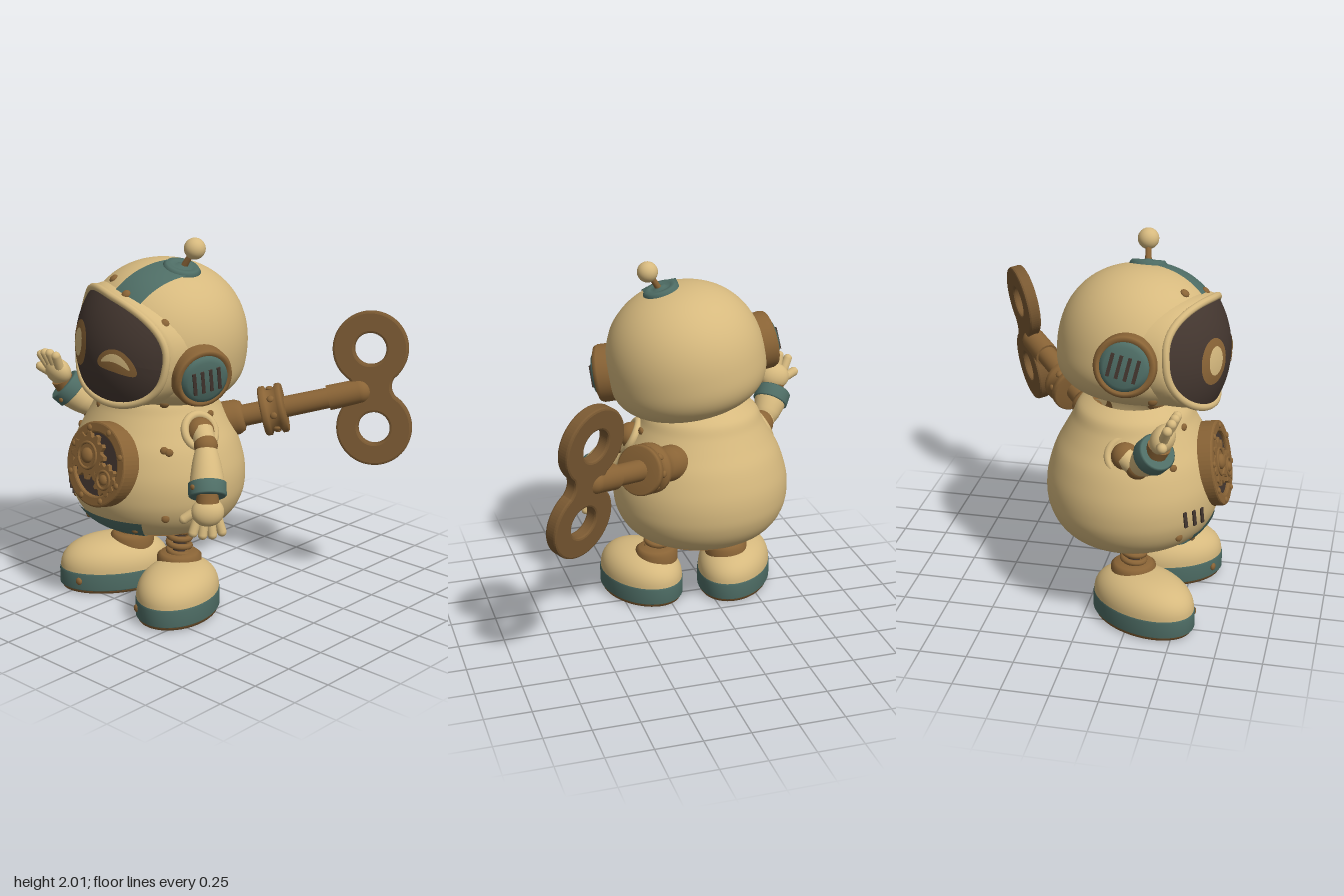
import * as THREE from 'three';

const V = (x, y, z) => new THREE.Vector3(x, y, z);
const V2 = (p) => new THREE.Vector2(p[0], p[1]);
const UP = V(0, 1, 0);
const mat = (name, color, side = THREE.FrontSide) => {
  const m = new THREE.MeshStandardMaterial({ color, side });
  m.name = name;
  return m;
};

export function createModel() {
  const cream = mat('cream', 0xd6b97e, THREE.DoubleSide);
  const teal = mat('teal', 0x4e6d65, THREE.DoubleSide);
  const bronze = mat('bronze', 0x8a6436, THREE.DoubleSide);
  const keyBronze = mat('dark bronze', 0x7a5932);
  const dark = mat('dark brown', 0x43362f, THREE.DoubleSide);

  const root = new THREE.Group();
  const group = (name, parent = root) => {
    const g = new THREE.Group();
    g.name = name;
    parent.add(g);
    return g;
  };
  const add = (name, geo, m, parent, pos = V(0, 0, 0), dir = null) => {
    const mesh = new THREE.Mesh(geo, m);
    mesh.name = name;
    mesh.position.copy(pos);
    if (dir) mesh.quaternion.setFromUnitVectors(UP, dir.clone().normalize());
    parent.add(mesh);
    return mesh;
  };
  const lathe = (pts, n = 48, a0 = 0, len = Math.PI * 2) => new THREE.LatheGeometry(pts.map(V2), n, a0, len);
  const ball = (name, r, m, parent, pos, sx = 1, sy = 1, sz = 1) => {
    const b = add(name, new THREE.SphereGeometry(r, 24, 16), m, parent, pos);
    b.scale.set(sx, sy, sz);
    return b;
  };
  const rivet = (parent, pos, dir, r = 0.022) =>
    add('rivet', new THREE.SphereGeometry(r, 12, 8).scale(1, 0.6, 1), bronze, parent, pos, dir);
  const limb = (name, a, b, r0, r1, m, parent) => {
    const d = b.clone().sub(a);
    return add(name, new THREE.CylinderGeometry(r1, r0, d.length(), 28), m, parent, a.clone().add(b).multiplyScalar(0.5), d);
  };
  // rings of points f(angle, t) joined into a sheet facing +z
  const sheet = (f, steps, around = 56) => {
    const pos = [], idx = [], w = around + 1;
    for (let i = 0; i <= steps; i++)
      for (let j = 0; j <= around; j++) pos.push(...f((j / around) * Math.PI * 2, i / steps));
    for (let i = 0; i < steps; i++)
      for (let j = 0; j < around; j++) {
        const a = i * w + j, b = a + w;
        idx.push(a, b, b + 1, a, b + 1, a + 1);
      }
    const g = new THREE.BufferGeometry();
    g.setAttribute('position', new THREE.Float32BufferAttribute(pos, 3));
    g.setIndex(idx);
    g.computeVertexNormals();
    return g;
  };

  // ---- body ----
  const CX = -0.19, CZ = 0.215, SZ = 0.94;
  const bodyCurve = new THREE.SplineCurve([[0, 0.4], [0.2, 0.4], [0.3, 0.415], [0.385, 0.455], [0.445, 0.52], [0.48, 0.6],
    [0.49, 0.68], [0.485, 0.76], [0.465, 0.84], [0.435, 0.92], [0.39, 1.0], [0.345, 1.08], [0.31, 1.15], [0.24, 1.2]].map(V2));
  const prof = bodyCurve.getPoints(80).map((p) => [Math.max(p.x, 0), p.y]);
  const bodyR = (y) => prof.reduce((best, p) => (Math.abs(p[1] - y) < Math.abs(best[1] - y) ? p : best))[0];
  const body = group('body');
  body.position.set(CX, 0, CZ);
  body.scale.z = SZ;
  add('bodyShell', lathe(prof, 64), cream, body);
  const shift = (lo, hi, d) => prof.filter((p) => p[1] >= lo && p[1] <= hi).map(([r, y]) => [r + (r > 0.01 ? d : 0), y - d * 0.6]);
  add('underside', lathe(shift(0, 0.428, 0.004), 64), bronze, body);
  add('bellyPanel', lathe(shift(0.402, 0.54, 0.008), 24, -0.56, 1.12), teal, body);
  const onBody = (a, y, out = 0) => {
    const n = V(Math.sin(a), 0, Math.cos(a));
    return [V(CX + (bodyR(y) + out) * n.x, y, CZ + (bodyR(y) + out) * SZ * n.z), n];
  };
  for (const [a, y] of [[-0.72, 1.125], [-0.45, 1.09], [-0.85, 0.935], [-0.8, 0.55], [0.84, 0.57], [0.84, 0.93], [1.7, 1.065],
    [0.9, 0.92], [-0.45, 0.48], [0.45, 0.48]]) rivet(root, ...onBody(a, y));
  for (let i = 0; i < 3; i++) {
    const [p, n] = onBody(-0.76 + i * 0.13, 0.66 - i * 0.008, 0.004);
    const s = add('ventSlot', new THREE.BoxGeometry(0.02, 0.09, 0.008), dark, root, p);
    s.rotation.set(0, Math.atan2(n.x, n.z), 0.15);
  }

  // ---- porthole with gears ----
  const port = group('porthole');
  port.position.set(-0.177, 0.83, 0.662);
  port.rotation.set(-0.2, -0.04, 0);
  const extrude = (shape, depth, bevel) => new THREE.ExtrudeGeometry(shape, { depth, bevelEnabled: bevel > 0, bevelSize: bevel, bevelThickness: bevel, bevelSegments: 2, curveSegments: 32 });
  const circlePath = (r, y = 0) => new THREE.Path().absarc(0, y, r, 0, Math.PI * 2, true);
  const ringShape = new THREE.Shape().absarc(0, 0, 0.215, 0, Math.PI * 2);
  ringShape.holes.push(circlePath(0.175));
  add('portholeRing', extrude(ringShape, 0.1, 0.01), bronze, port, V(0, 0, -0.085));
  add('portholeBack', new THREE.CircleGeometry(0.175, 40), dark, port, V(0, 0, 0.006));
  for (let i = 0; i < 8; i++) {
    const a = (i + 0.5) * Math.PI / 4;
    rivet(port, V(0.196 * Math.cos(a), 0.196 * Math.sin(a), 0.026), V(0, 0, 1), 0.017);
  }
  const gear = (x, y, r, teeth) => {
    const s = new THREE.Shape();
    for (let i = 0; i < teeth * 4; i++) {
      const a = (i / (teeth * 4)) * Math.PI * 2, k = i % 4 < 2 ? r : r * 0.8;
      s[i ? 'lineTo' : 'moveTo'](k * Math.cos(a), k * Math.sin(a));
    }
    add('gear', extrude(s, 0.018, 0.003), bronze, port, V(x, y, 0.01));
    add('gearRim', new THREE.TorusGeometry(r * 0.55, 0.008, 8, 32), bronze, port, V(x, y, 0.031));
    ball('gearHub', r * 0.33, bronze, port, V(x, y, 0.032), 1, 1, 0.6);
  };
  gear(-0.06, 0.035, 0.125, 12);
  gear(0.085, -0.065, 0.085, 10);

  // ---- head ----
  const head = group('head');
  head.position.set(-0.11, 1.42, 0.23);
  head.rotation.set(0, -0.175, -0.175, 'YXZ');
  const HR = 0.435, headR = (y) => {
    const [h, n] = y > 0 ? [0.44, 2.2] : [0.27, 2.8];
    return HR * Math.pow(Math.max(0, 1 - Math.pow(Math.abs(y) / h, n)), 1 / n);
  };
  const headPts = [];
  for (let i = 0; i <= 48; i++) {
    const t = -Math.cos((i / 48) * Math.PI), y = t > 0 ? t * 0.44 : t * 0.27;
    headPts.push([headR(y), y]);
  }
  add('headShell', lathe(headPts, 64), cream, head);

  // visor glass, rim and the skirt joining it to the head
  const visorZ = (x, y) => 0.47 * Math.sqrt(Math.max(0, 1 - (x / 0.47) ** 2 - (y / 0.5) ** 2));
  const pw = (v) => Math.sign(v) * Math.abs(v) ** (2 / 2.3);
  const outline = (a, s = 1) => [0.375 * s * pw(Math.cos(a)), 0.035 + 0.27 * s * pw(Math.sin(a))];
  add('visorGlass', sheet((a, t) => {
    const [x, y] = outline(a, t);
    return [x, y, visorZ(x, y)];
  }, 14), dark, head);
  add('visorSkirt', sheet((a, t) => {
    const [x0, y0] = outline(a), [x1, y1] = outline(a, 1.09);
    const z0 = visorZ(x0, y0), z1 = Math.sqrt(Math.max(0, headR(y1) ** 2 - x1 * x1)) - 0.02;
    const k = Math.sqrt(1 - (1 - t) ** 2);
    return [x0 + (x1 - x0) * k, y0 + (y1 - y0) * k, z0 + (z1 - z0) * t];
  }, 6), cream, head);
  const rimPts = Array.from({ length: 48 }, (_, i) => {
    const [x, y] = outline((i / 48) * Math.PI * 2, 1.02);
    return V(x, y, visorZ(x, y));
  });
  add('visorRim', new THREE.TubeGeometry(new THREE.CatmullRomCurve3(rimPts, true), 120, 0.02, 10, true), cream, head);

  // eyes: an open one and a winking one
  const eye = (name, cx, cy, w, h, bend, lift, m) => add(name, sheet((a, t) => {
    const u = w * t * Math.cos(a), x = cx + u, y = cy + h * t * Math.sin(a) - bend * u * u;
    return [x, y, visorZ(x, y) + lift];
  }, 5, 36), m, head);
  eye('openEyeGlow', -0.135, 0.015, 0.1, 0.12, 0, 0.004, bronze);
  eye('openEye', -0.135, 0.02, 0.055, 0.075, 0, 0.008, cream);
  eye('winkEyeGlow', 0.18, 0.035, 0.11, 0.06, 3, 0.004, bronze);
  eye('winkEye', 0.18, 0.05, 0.08, 0.022, 6, 0.008, cream);

  // crown stripe
  const NX = 8, NZ = 16, stripe = new THREE.PlaneGeometry(1, 1, NX, NZ), sp = stripe.attributes.position;
  for (let i = 0; i < sp.count; i++) {
    const x = 0.06 + sp.getX(i) * 0.19, z = 0.175 - sp.getY(i) * 0.37;
    const q = Math.min(1, Math.hypot(x, z) / HR);
    sp.setXYZ(i, x, 0.44 * Math.pow(1 - q ** 2.2, 1 / 2.2) + 0.008, z);
  }
  stripe.computeVertexNormals();
  add('crownStripe', stripe, teal, head);
  for (const [x, y, stripeLift] of [[-0.14, 0.34, 0], [0.05, 0.33, 0.008], [0.29, 0.25, 0], [0.3, -0.2, 0], [-0.3, -0.2, 0]]) {
    const z = Math.sqrt(Math.max(0, headR(y) ** 2 - x * x)) + stripeLift;
    rivet(head, V(x, y, z), V(x, y, z), 0.025);
  }

  // ears
  for (const s of [1, -1]) {
    const ear = group('ear', head);
    ear.position.set(s * 0.45, 0, 0.085);
    ear.quaternion.setFromUnitVectors(UP, V(s * 0.98, 0, 0.19).normalize());
    add('earRing', lathe([[0.158, -0.09], [0.16, 0.01], [0.152, 0.03], [0.135, 0.036], [0.12, 0.02]]), bronze, ear);
    add('earPad', lathe([[0.127, 0.02], [0.122, 0.04], [0.1, 0.052], [0.05, 0.058], [0, 0.06]]), teal, ear);
    for (let i = -1.5; i < 2; i++) add('earSlot', new THREE.BoxGeometry(0.12, 0.008, 0.018), dark, ear, V(0, 0.058, i * 0.045));
  }

  // antenna
  const antenna = group('antenna'), aDir = V(0.3, 0.95, 0);
  add('antennaBase', lathe([[0.1, -0.03], [0.1, 0.01], [0.085, 0.028], [0.06, 0.028], [0.045, 0.015], [0.03, 0.03], [0, 0.035]]), teal, antenna, V(0.025, 1.825, 0.24), aDir);
  limb('antennaRod', V(0.03, 1.83, 0.24), V(0.1, 1.94, 0.225), 0.018, 0.014, bronze, antenna);
  ball('antennaBall', 0.056, cream, antenna, V(0.105, 1.944, 0.225));

  // ---- arms ----
  const buildArm = (name, socket, out, elbow, cuff, handDir, side, thumb) => {
    const arm = group(name), d = cuff.clone().sub(elbow).normalize();
    const ring = add('shoulderSocket', new THREE.TorusGeometry(0.09, 0.022, 12, 36).rotateX(Math.PI / 2), cream, arm, socket, out);
    ring.scale.set(1, 1, 1);
    ball('shoulder', 0.075, bronze, arm, socket);
    limb('upperArm', socket.clone().addScaledVector(out, 0.02), elbow, 0.06, 0.055, cream, arm);
    ball('elbow', 0.062, bronze, arm, elbow);
    const len = cuff.distanceTo(elbow);
    add('forearm', lathe([[0.035, 0.01], [0.058, 0.025], [0.075, len * 0.4], [0.088, len * 0.75], [0.09, len]], 32), cream, arm, elbow, d);
    add('cuff', lathe([[0.088, -0.04], [0.099, -0.035], [0.099, 0.03], [0.09, 0.038], [0.05, 0.03], [0, 0.03]], 32), teal, arm, cuff, d);
    rivet(arm, cuff.clone().addScaledVector(V(0, 0, 1).projectOnPlane(d).normalize(), 0.1), V(0, 0, 1), 0.015);
    const hand = group('hand', arm), y = handDir.clone().normalize(), x = side.clone().projectOnPlane(y).normalize();
    hand.quaternion.setFromRotationMatrix(new THREE.Matrix4().makeBasis(x, y, x.clone().cross(y)));
    hand.position.copy(cuff).addScaledVector(d, 0.02);
    add('wrist', new THREE.CylinderGeometry(0.06, 0.055, 0.05, 24), bronze, hand, V(0, 0.02, 0));
    ball('palm', 0.08, cream, hand, V(0, 0.095, 0), 1.08, 0.95, 0.75);
    for (let i = -1.5; i < 2; i++) {
      const t = i * 0.2, reach = 0.185 - Math.abs(i) * 0.012;
      add('finger', new THREE.CapsuleGeometry(0.025, 0.075, 6, 14), cream, hand, V(i * 0.043, reach, 0.01), V(t, 1, 0));
    }
    add('thumb', new THREE.CapsuleGeometry(0.026, 0.06, 6, 14), cream, hand, V(thumb * 0.095, 0.115, 0.02), V(thumb * 1, 0.7, 0.2));
  };
  buildArm('leftArm', V(0.19, 1.0, 0.28), V(0.85, 0.45, 0.2).normalize(), V(0.27, 0.95, 0.32), V(0.365, 0.755, 0.41), V(0.12, -1, 0.12), V(0.6, 0, -0.8), -1);
  buildArm('rightArm', V(-0.55, 1.0, 0.24), V(-0.85, 0.45, 0.1).normalize(), V(-0.59, 0.965, 0.31), V(-0.68, 1.09, 0.41), V(-0.2, 1, 0.4), V(1, 0, 0.1), -1);

  // ---- legs ----
  const buildLeg = (name, x, z, hw, hl, yaw, ankle, rivetAngle) => {
    const leg = group(name), foot = group('foot', leg);
    foot.position.set(x, 0, z);
    foot.rotation.y = yaw;
    const oval = (n, pts, m) => add(n, lathe(pts), m, foot).scale.set(hw, 1, hl);
    oval('sole', [[0, 0], [0.95, 0], [0.97, 0.022]], bronze);
    oval('soleBand', [[0.96, 0.014], [1, 0.022], [1, 0.105], [0.98, 0.118]], teal);
    const dome = [];
    for (let i = 0; i <= 16; i++) {
      const a = (i / 16) * Math.PI / 2;
      dome.push([0.985 * Math.cos(a) ** 0.8, 0.11 + 0.165 * Math.sin(a) ** 0.85]);
    }
    oval('shoe', dome, cream);
    add('soleRing', new THREE.TorusGeometry(0.06, 0.006, 8, 28).rotateX(Math.PI / 2), bronze, foot, V(0, 0, 0));
    const n = V(Math.sin(rivetAngle) * hw, 0.07, Math.cos(rivetAngle) * hl);
    rivet(foot, n, V(n.x, 0, n.z));
    add('ankleRing', lathe([[0.12, 0.22], [0.12, 0.275], [0.1, 0.292], [0.06, 0.3], [0, 0.3]], 32), bronze, leg, V(ankle[0], 0, ankle[1]));
    add('legCore', new THREE.CylinderGeometry(0.035, 0.035, 0.2, 20), dark, leg, V(ankle[0], 0.35, ankle[1]));
    const coil = Array.from({ length: 50 }, (_, i) => V(ankle[0] + 0.057 * Math.cos(i * 0.42), 0.29 + i * 0.0029, ankle[1] + 0.057 * Math.sin(i * 0.42)));
    add('spring', new THREE.TubeGeometry(new THREE.CatmullRomCurve3(coil), 140, 0.017, 8), bronze, leg);
  };
  buildLeg('leftLeg', 0.115, 0.375, 0.21, 0.29, 0.35, [0.045, 0.29], -0.75);
  buildLeg('rightLeg', -0.43, 0.32, 0.205, 0.31, -0.52, [-0.36, 0.25], 0.7);

  // ---- wind-up key ----
  const key = group('windUpKey'), collar = V(0.255, 1.02, -0.23), kd = V(0.74, 0.225, -0.64).normalize();
  const along = (t) => collar.clone().addScaledVector(kd, t);
  limb('keyShaft', along(-0.32), along(0.4), 0.06, 0.055, bronze, key);
  add('keyFlange', lathe([[0.1, -0.1], [0.095, 0], [0.08, 0.03], [0.05, 0.04]], 32), bronze, key, along(-0.2), kd);
  add('keyCollar', lathe([[0.05, -0.065], [0.125, -0.065], [0.135, -0.055], [0.135, -0.03], [0.118, -0.022], [0.118, 0.022],
    [0.135, 0.03], [0.135, 0.055], [0.125, 0.065], [0.05, 0.065]], 40), bronze, key, collar, kd);
  const kx = V(0, 1, 0).projectOnPlane(kd).normalize(), kz = kx.clone().cross(kd);
  for (let i = 0; i < 8; i++) {
    const n = kx.clone().multiplyScalar(Math.cos(i * Math.PI / 4)).addScaledVector(kz, Math.sin(i * Math.PI / 4));
    rivet(key, collar.clone().addScaledVector(n, 0.12), n, 0.02);
  }
  limb('keyStem', along(0.3), along(0.47), 0.068, 0.066, bronze, key);
  ball('keyStemTip', 0.066, bronze, key, along(0.47));

  // figure-eight handle
  const R = 0.19, C = 0.213, A = 0.95, bow = new THREE.Shape();
  bow.absarc(0, C, R, -A, Math.PI + A, false);
  bow.quadraticCurveTo(-0.07, 0, R * Math.cos(Math.PI - A), -C + R * Math.sin(Math.PI - A));
  bow.absarc(0, -C, R, Math.PI - A, Math.PI * 2 + A, false);
  bow.quadraticCurveTo(0.07, 0, R * Math.cos(-A), C + R * Math.sin(-A));
  bow.holes.push(circlePath(0.097, C), circlePath(0.097, -C));
  const handle = add('keyHandle', extrude(bow, 0.046, 0.012).translate(0, 0, -0.023), keyBronze, key, V(0.655, 1.145, -0.575));
  const by = V(-0.15, 0.98, -0.08).normalize(), bx = V(0.82, 0.2, -0.55).projectOnPlane(by).normalize();
  handle.quaternion.setFromRotationMatrix(new THREE.Matrix4().makeBasis(bx, by, bx.clone().cross(by)));

  return root;
}
